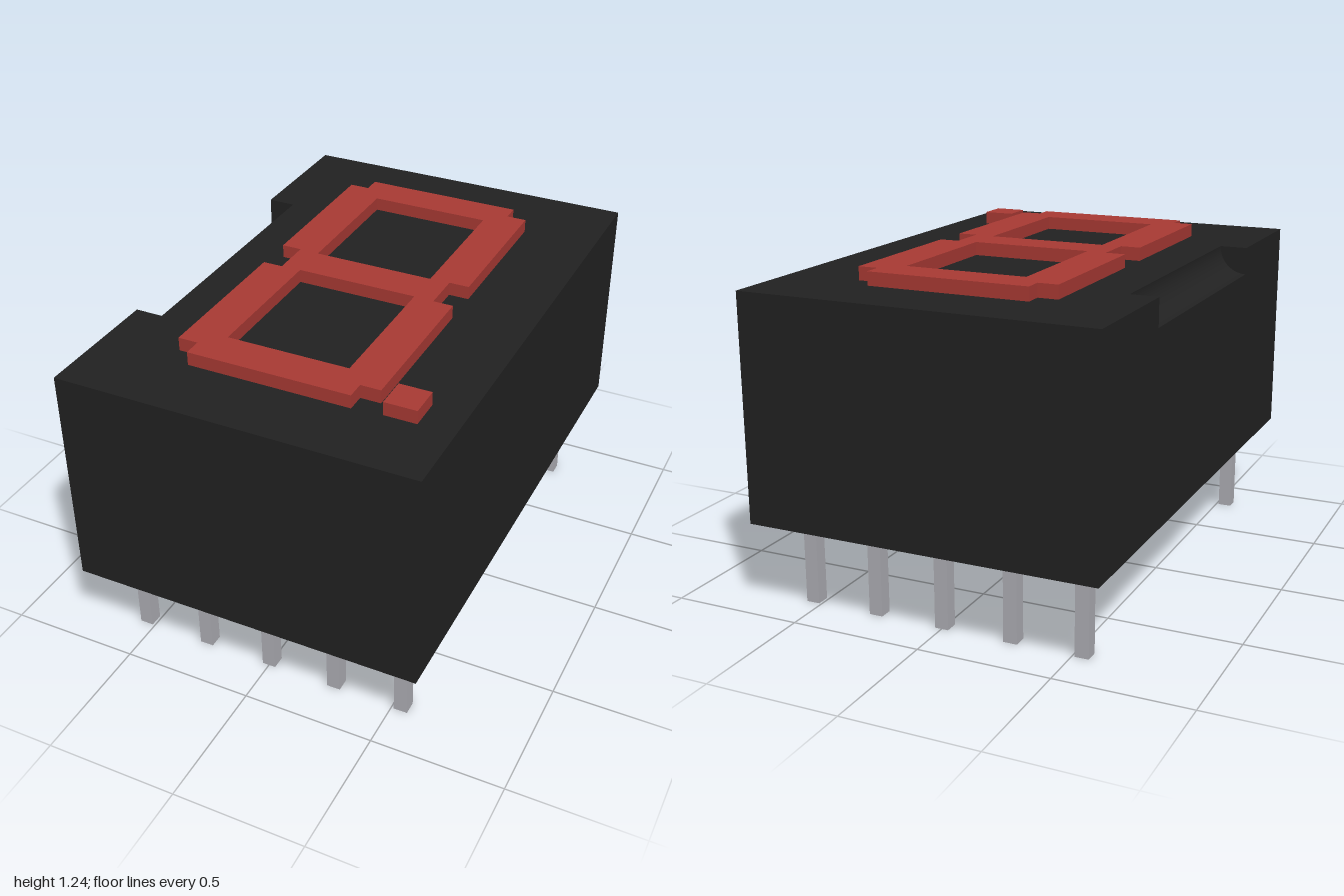
import * as THREE from 'three';

const W = 0.665, BOTTOM = 0.35, TOP = 1.19, FACE = 1.24;

export function createModel() {
  const group = new THREE.Group();
  const housing = new THREE.MeshStandardMaterial({ name: 'blackHousing', color: 0x222222 });
  const red = new THREE.MeshStandardMaterial({ name: 'segmentRed', color: 0xaa3a34 });
  const metal = new THREE.MeshStandardMaterial({ name: 'pinMetal', color: 0xb0b0b6 });

  const add = (name, geometry, material, parent = group) => {
    const mesh = new THREE.Mesh(geometry, material);
    mesh.name = name;
    parent.add(mesh);
    return mesh;
  };

  // Housing: solid ends and a middle with a rounded groove along its top edge
  const body = new THREE.Group();
  body.name = 'housing';
  group.add(body);
  const section = (groove) => {
    const s = new THREE.Shape();
    s.moveTo(-W, BOTTOM);
    s.lineTo(W, BOTTOM);
    s.lineTo(W, TOP);
    if (groove) {
      s.lineTo(-W + groove, TOP);
      s.absarc(-W, TOP, groove, 0, -Math.PI / 2, true);
    } else s.lineTo(-W, TOP);
    s.closePath();
    return s;
  };
  const block = (name, z0, z1, groove) => {
    const g = new THREE.ExtrudeGeometry(section(groove), {
      depth: z1 - z0, bevelEnabled: false, curveSegments: 16,
    });
    add(name, g.translate(0, 0, z0), housing, body);
  };
  block('housingBack', -1, -0.5, 0);
  block('housingMiddle', -0.5, 0.5, 0.105);
  block('housingFront', 0.5, 1, 0);

  // Digit: stepped outline, mirrored left to right, with two windows
  const side = [
    [0.305, -0.745], [0.305, -0.678], [0.38, -0.678], [0.38, -0.08], [0.305, -0.08],
    [0.305, 0.07], [0.38, 0.07], [0.38, 0.672], [0.305, 0.672], [0.305, 0.74],
  ];
  const mirrored = side.map(([x, z]) => [-x, z]).reverse();
  const toPoints = (list) => list.map(([x, z]) => new THREE.Vector2(x, z));
  const outline = new THREE.Shape(toPoints([...side, ...mirrored]));
  for (const [z0, z1] of [[-0.605, -0.077], [0.067, 0.597]]) {
    outline.holes.push(new THREE.Path(toPoints([[-0.23, z0], [-0.23, z1], [0.23, z1], [0.23, z0]])));
  }
  const digit = new THREE.ExtrudeGeometry(outline, { depth: FACE - TOP, bevelEnabled: false });
  add('digitSegments', digit.rotateX(Math.PI / 2).translate(0, FACE, 0), red);

  // Decimal point
  add('decimalPoint', new THREE.BoxGeometry(0.12, FACE - TOP, 0.12), red)
    .position.set(0.473, (FACE + TOP) / 2, 0.67);

  // Two rows of five pins
  const pin = new THREE.BoxGeometry(0.052, BOTTOM, 0.052);
  for (const z of [-0.8, 0.8]) {
    for (let i = -2; i <= 2; i++) {
      add('pin', pin, metal).position.set(i * 0.268, BOTTOM / 2, z);
    }
  }
  return group;
}
